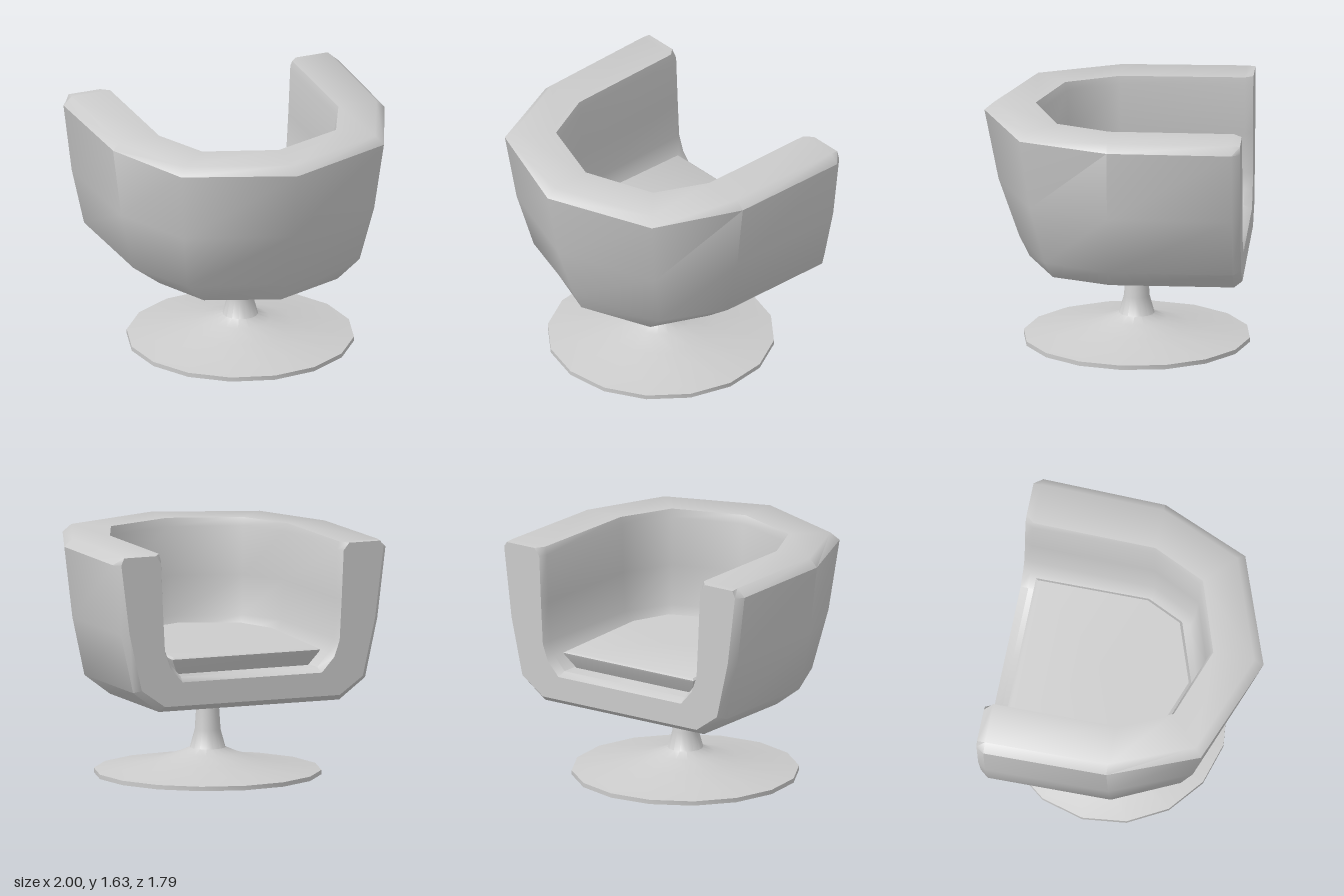
import * as THREE from 'three';
import { toCreasedNormals } from 'three/addons/utils/BufferGeometryUtils.js';

const material = new THREE.MeshStandardMaterial({ color: 0xcccccc, side: THREE.DoubleSide });

function addMesh(group, name, geometry, crease = 0.9) {
  const mesh = new THREE.Mesh(toCreasedNormals(geometry, crease), material);
  mesh.name = name;
  group.add(mesh);
  return mesh;
}

// Triangulated grid from rows of [x, y, z] points
function loft(rows) {
  const n = rows[0].length, index = [];
  for (let i = 0; i < rows.length - 1; i++) {
    for (let j = 0; j < n - 1; j++) {
      const a = i * n + j, b = a + n;
      index.push(a, a + 1, b, b, a + 1, b + 1);
    }
  }
  const geometry = new THREE.BufferGeometry();
  geometry.setAttribute('position', new THREE.Float32BufferAttribute(rows.flat(2), 3));
  geometry.setIndex(index);
  return geometry;
}

// Wall section, from outer bottom over the rim to the seat floor:
// half width, height, depth at the back, half width and height at the bevelled front edge
const section = [
  [0.66, 0.56, 0.59, 0.64, 0.60],
  [0.85, 0.70, 0.66, 0.81, 0.72],
  [0.94, 1.10, 0.80, 0.90, 1.11],
  [1.00, 1.58, 0.895, 0.96, 1.58],
  [0.94, 1.635, 0.83, 0.94, 1.63],
  [0.66, 1.635, 0.55, 0.71, 1.63],
  [0.645, 1.58, 0.525, 0.67, 1.58],
  [0.635, 1.25, 0.51, 0.655, 1.25],
  [0.62, 0.98, 0.48, 0.64, 0.97],
  [0.58, 0.88, 0.44, 0.60, 0.86],
  [0.50, 0.79, 0.38, 0.51, 0.76],
  [0.00, 0.79, 0.02, 0.00, 0.76],
];
const FRONT = -0.875, BEVEL = -0.82;

// Wrap the section around the U-shaped plan
function shellGeometry() {
  const half = [
    ([, , , w, y]) => [w, y, FRONT],
    ([w, y]) => [w, y, BEVEL],
    ([w, y]) => [w * 0.985, y, 0.02],
    ([w, y, d]) => [w * 0.735, y, d * 0.69],
  ];
  const right = half.map((f) => section.map(f));
  const tip = section.map(([, y, d]) => [0, y, d]);
  const left = right.map((row) => row.map(([x, y, z]) => [-x, y, z])).reverse();
  return loft([...right, tip, ...left]);
}

// U-shaped face closing the arms and front rail
function frontFaceGeometry() {
  const right = section.slice(0, -1).map((p) => [p[3], p[4]]);
  const left = right.map(([x, y]) => [-x, y]).reverse();
  const shape = new THREE.Shape([...right, ...left].map(([x, y]) => new THREE.Vector2(x, y)));
  return new THREE.ShapeGeometry(shape).rotateY(Math.PI).translate(0, 0, FRONT);
}

// Tapered cushion, rising slightly towards the back
function cushionGeometry() {
  const right = [[0.54, -0.775], [0.54, 0], [0.42, 0.25], [0, 0.4]];
  const left = right.slice(0, 3).reverse().map(([x, z]) => [-x, z]);
  const outline = [...right, ...left, right[0]];
  const middle = -0.2;
  const levels = [[0, 0.78], [0.88, 0.78], [0.99, 0.885], [1, 0.9], [0.97, 0.912], [0, 0.912]];
  return loft(levels.map(([s, y]) => outline.map(([x, z]) => {
    const depth = middle + (z - middle) * s;
    return [x * s, y + 0.03 * (depth + 0.775), depth];
  })));
}

// Flared trumpet foot and stem, open underneath
function pedestalGeometry() {
  const profile = [
    [0.745, 0], [0.765, 0], [0.765, 0.03], [0.36, 0.095], [0.2, 0.145],
    [0.12, 0.18], [0.087, 0.3], [0.07, 0.56], [0.068, 0.59], [0, 0.59],
  ].map(([r, y]) => new THREE.Vector2(r, y));
  return new THREE.LatheGeometry(profile, 16);
}

export function createModel() {
  const group = new THREE.Group();
  group.name = 'tubChair';

  addMesh(group, 'shell', shellGeometry());
  addMesh(group, 'frontFace', frontFaceGeometry());
  addMesh(group, 'frontRailBevel', loft([
    [[-0.64, 0.60, FRONT], [0.64, 0.60, FRONT]],
    [[-0.66, 0.56, BEVEL], [0.66, 0.56, BEVEL]],
  ]));
  addMesh(group, 'cushion', cushionGeometry(), 0.6);
  const pedestal = addMesh(group, 'pedestal', pedestalGeometry());
  pedestal.position.z = -0.13;
  pedestal.rotation.y = -0.08;

  return group;
}
